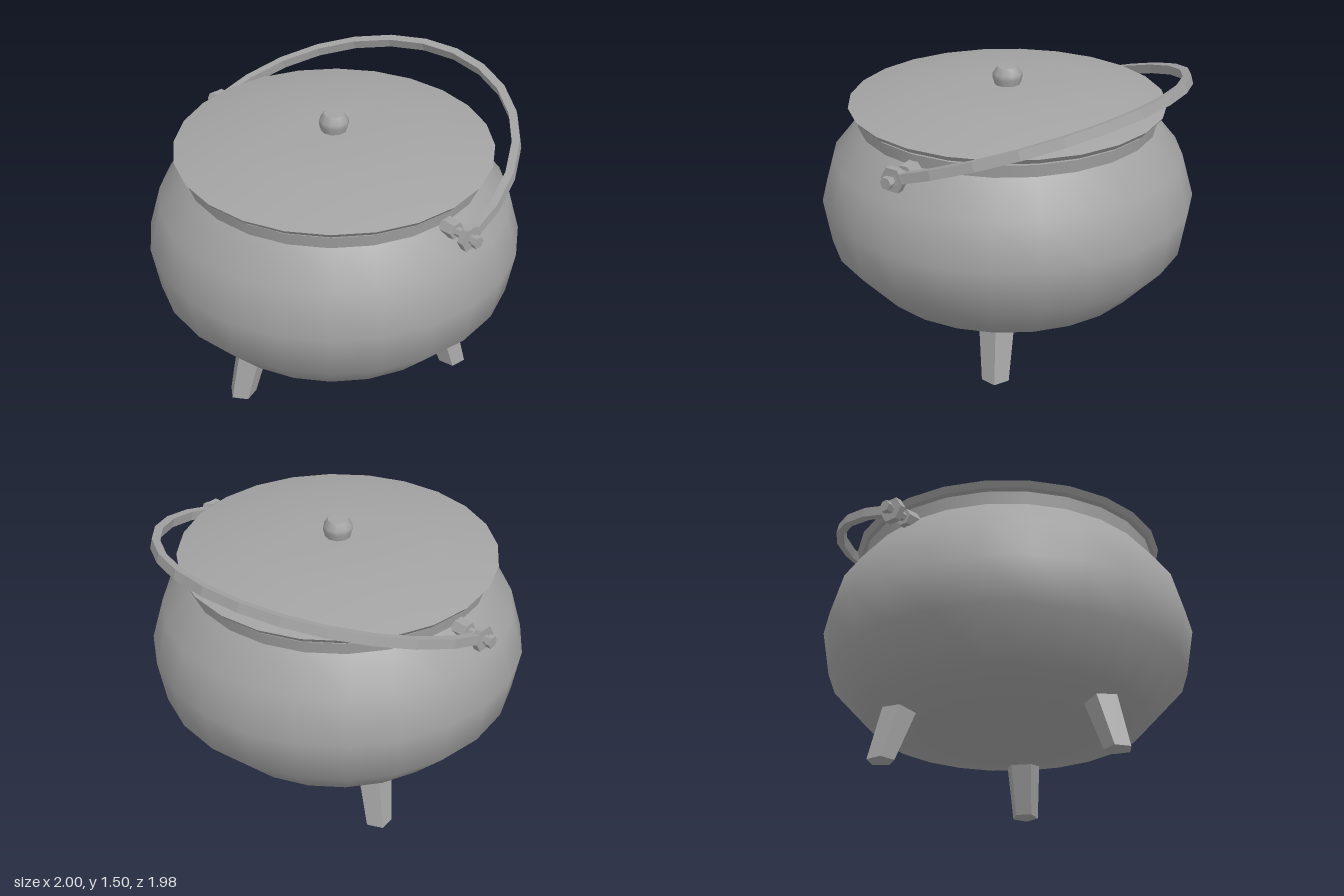
import * as THREE from 'three';

export function createModel() {
  const root = new THREE.Group();
  const iron = new THREE.MeshStandardMaterial({ color: 0xa3a3a3 });
  iron.name = 'grey iron';
  const ironFlat = iron;

  const add = (name, geo, parent = root) => {
    const mesh = new THREE.Mesh(geo, ironFlat);
    mesh.name = name;
    parent.add(mesh);
    return mesh;
  };
  const lathe = (pts, sides = 24) =>
    new THREE.LatheGeometry(pts.map(([r, y]) => new THREE.Vector2(r, y)), sides);
  const faceted = (geo) => {
    const g = geo.index ? geo.toNonIndexed() : geo;
    g.computeVertexNormals();
    return g;
  };

  // Pot: smooth belly, separate straight neck, rim and hollow inside
  add('potBelly', lathe([[0, 0.23], [0.39, 0.235], [0.74, 0.3], [0.95, 0.53],
    [0.99, 0.77], [0.925, 1.0], [0.785, 1.172]]));
  add('potNeck', lathe([[0.785, 1.172], [0.795, 1.238]]));
  add('potRim', lathe([[0.795, 1.238], [0.75, 1.238]]));
  add('potInside', lathe([[0.75, 1.238], [0.74, 1.17], [0.88, 1.0], [0.94, 0.77],
    [0.9, 0.54], [0.71, 0.34], [0.38, 0.275], [0, 0.27]]));

  // Lid: shallow dome, bevelled edge, flat underside
  const lid = new THREE.Group();
  lid.name = 'lid';
  root.add(lid);
  add('lidDome', lathe([[0.833, 1.28], [0.51, 1.354], [0.2, 1.366], [0, 1.367]]), lid);
  add('lidEdge', lathe([[0.81, 1.252], [0.833, 1.28]]), lid);
  add('lidUnderside', lathe([[0, 1.252], [0.81, 1.252]]), lid);
  add('lidKnob', lathe([[0.065, 1.355], [0.077, 1.4], [0.077, 1.425], [0.054, 1.46]], 10), lid);
  add('lidKnobTop', lathe([[0.054, 1.46], [0, 1.461]], 10), lid);

  // Three splayed five-sided legs
  for (let i = 0; i < 3; i++) {
    const geo = new THREE.CylinderGeometry(0.101, 0.073, 0.36, 5, 1);
    geo.translate(0, 0.18, 0);
    const p = geo.attributes.position;
    for (let v = 0; v < p.count; v++) p.setZ(v, p.getZ(v) + 0.685 - 0.32 * p.getY(v));
    const leg = add('leg' + (i + 1), faceted(geo));
    leg.rotation.y = (i * 2 * Math.PI) / 3;
  }

  // Pivot bolts on both sides: boss, rod, handle eye, end nut
  const pivotY = 1.157;
  for (const [side, s] of [['left', 1], ['right', -1]]) {
    const pivot = new THREE.Group();
    pivot.name = side + 'Pivot';
    pivot.position.y = pivotY;
    root.add(pivot);
    const bar = (name, x0, x1, r0, r1) => {
      const geo = new THREE.CylinderGeometry(r1, r0, x1 - x0, 6);
      geo.rotateZ((-s * Math.PI) / 2);
      geo.translate((s * (x0 + x1)) / 2, 0, 0);
      add(name, faceted(geo), pivot);
    };
    bar('boss', 0.76, 0.86, 0.052, 0.046);
    bar('rod', 0.85, 0.975, 0.024, 0.024);
    bar('handleEye', 0.918, 0.953, 0.068, 0.068);
    bar('endNut', 0.973, 1.0, 0.033, 0.033);
  }

  // Carrying handle: half ring with square section, leaning backwards
  const arc = (a, b, n = 14) => Array.from({ length: n + 1 }, (_, i) => {
    const t = (i / n) * Math.PI;
    return new THREE.Vector2(a * Math.cos(t), b * Math.sin(t));
  });
  const ring = new THREE.Shape([...arc(0.957, 1.0), ...arc(0.915, 0.957).reverse()]);
  const ringGeo = new THREE.ExtrudeGeometry(ring, { depth: 0.05, bevelEnabled: false });
  ringGeo.translate(0, 0, -0.025);
  const handle = add('handle', ringGeo);
  handle.position.y = pivotY;
  handle.rotation.x = -THREE.MathUtils.degToRad(71.5);

  return root;
}
